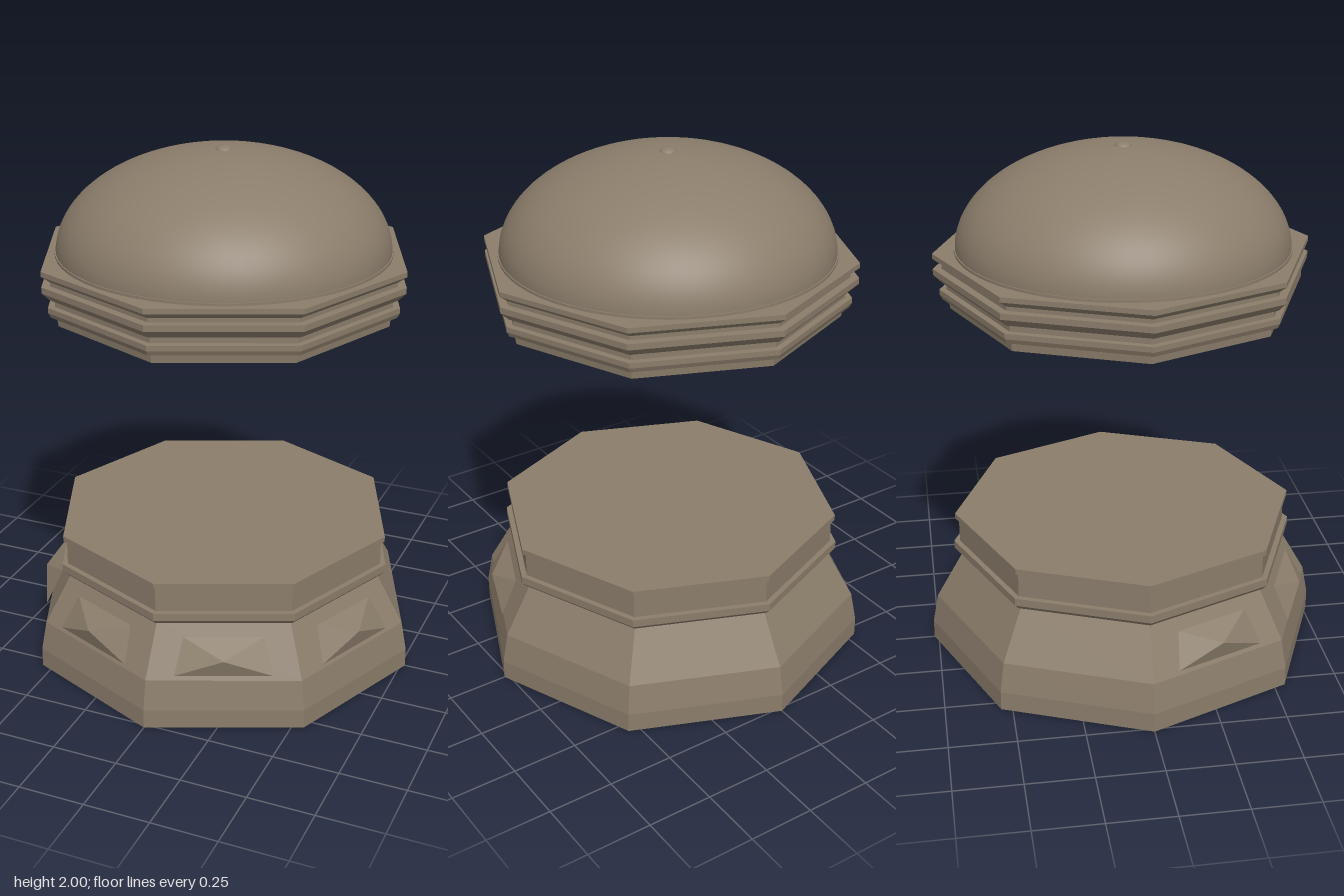
import * as THREE from 'three';

const stone = new THREE.MeshStandardMaterial({ color: 0x8b7d6b, side: THREE.DoubleSide });
stone.name = 'stone';

function part(name, geometry) {
  const mesh = new THREE.Mesh(geometry, stone);
  mesh.name = name;
  return mesh;
}

// Eight-sided moulding with crisp faces, corners on the axes
function octagon(profile) {
  const points = profile.map(([r, y]) => new THREE.Vector2(r, y));
  const geometry = new THREE.LatheGeometry(points, 8).toNonIndexed();
  geometry.computeVertexNormals();
  return geometry;
}

// Open four-sided boss facing +z: wide at the bottom, with a raised point
function bossGeometry() {
  const a = [-0.18, 0.215, 0.695], b = [0.18, 0.215, 0.695];
  const c = [0.147, 0.34, 0.632], d = [-0.147, 0.34, 0.632];
  const tip = [0, 0.285, 0.712];
  const corners = [a, b, c, d];
  const positions = corners.flatMap((p, i) => [...p, ...corners[(i + 1) % 4], ...tip]);
  const geometry = new THREE.BufferGeometry();
  geometry.setAttribute('position', new THREE.Float32BufferAttribute(positions, 3));
  geometry.computeVertexNormals();
  return geometry;
}

export function createModel() {
  const model = new THREE.Group();
  model.name = 'domedOctagonalPillar';

  // Flared plinth with a neck moulding
  model.add(part('plinth', octagon([
    [0, 0], [0.767, 0], [0.767, 0.075], [0.745, 0.19], [0.637, 0.38],
    [0.65, 0.38], [0.67, 0.4], [0.67, 0.43], [0.648, 0.43],
    [0.648, 0.528], [0.662, 0.528], [0.662, 0.55], [0, 0.55],
  ])));

  // Pointed bosses on the four front-facing sides
  const boss = bossGeometry();
  [-67.5, -22.5, 22.5, 67.5].forEach((angle, i) => {
    const mesh = part(`boss${i + 1}`, boss);
    mesh.rotation.y = THREE.MathUtils.degToRad(angle);
    model.add(mesh);
  });

  // Stepped cornice under the dome
  model.add(part('cornice', octagon([
    [0, 1.4], [0.643, 1.4], [0.647, 1.437], [0.67, 1.437], [0.679, 1.455],
    [0.679, 1.475], [0.653, 1.475], [0.653, 1.502], [0.67, 1.502],
    [0.7, 1.532], [0.7, 1.555], [0.668, 1.555], [0.668, 1.57],
    [0.7, 1.594], [0.7, 1.613], [0, 1.613],
  ])));

  // Thin round collar and the smooth dome
  const collar = part('domeCollar', new THREE.CylinderGeometry(0.621, 0.621, 0.012, 64));
  collar.position.y = 1.617;
  model.add(collar);

  const dome = part('dome', new THREE.SphereGeometry(1, 64, 24, 0, Math.PI * 2, 0, Math.PI / 2));
  dome.scale.set(0.617, 0.372, 0.617);
  dome.position.y = 1.615;
  model.add(dome);

  // Small button at the crown
  const finial = part('finial', new THREE.SphereGeometry(0.032, 20, 12));
  finial.scale.y = 0.5;
  finial.position.y = 1.984;
  model.add(finial);

  return model;
}
